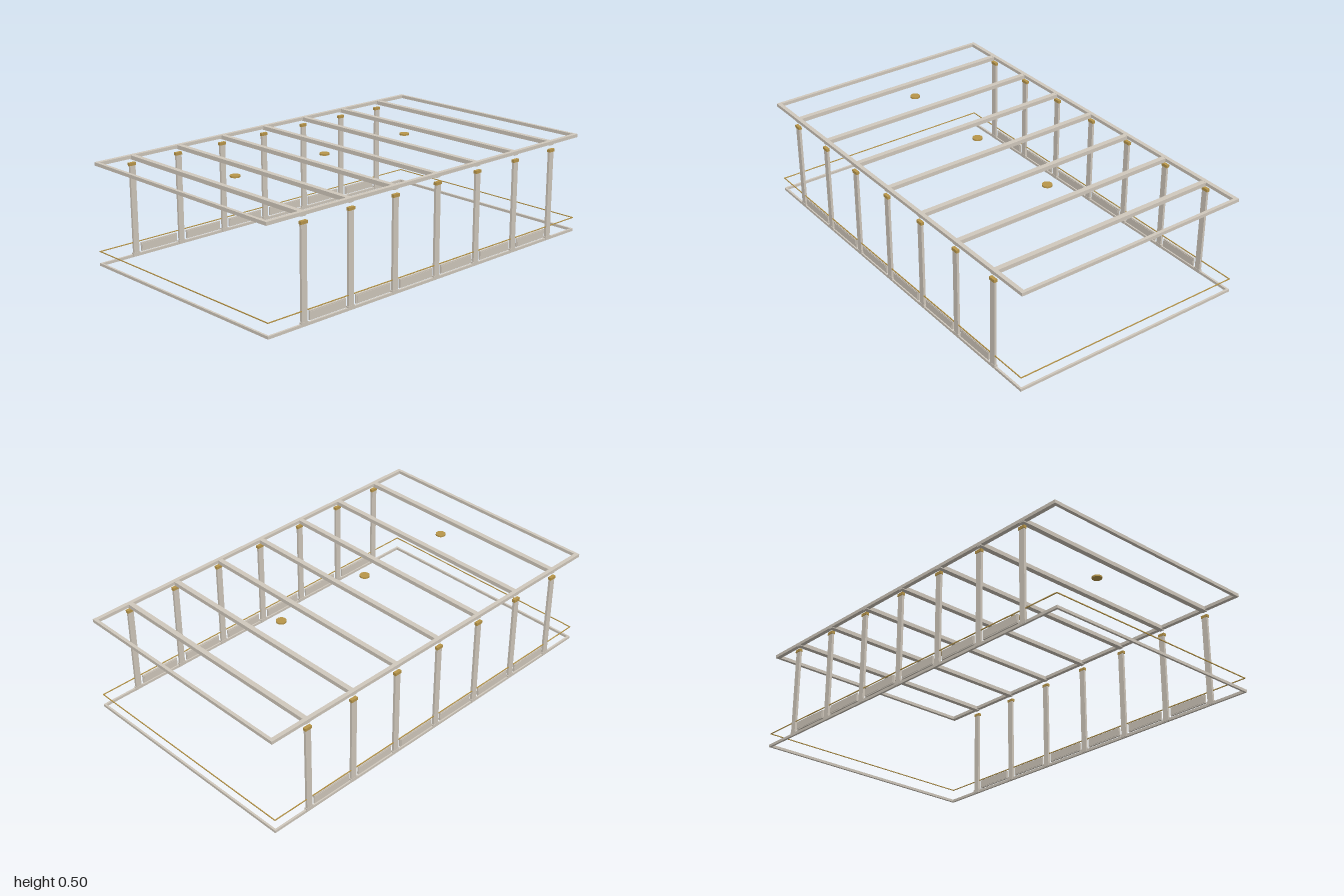
import * as THREE from 'three';

export function createModel() {
  const model = new THREE.Group();
  const stone = new THREE.MeshStandardMaterial({ name: 'warm grey stone', color: 0xd0c8bc });
  const gold = new THREE.MeshStandardMaterial({ name: 'antique gold', color: 0xb8964a });

  const HALF_X = 0.6, HALF_Z = 1, BAY = 0.8 / 3;

  function box(name, material, [w, h, d], [x, y, z], parent = model) {
    const mesh = new THREE.Mesh(new THREE.BoxGeometry(w, h, d), material);
    mesh.name = name;
    mesh.position.set(x, y, z);
    parent.add(mesh);
    return mesh;
  }

  // Rectangular ring of four bars; sideW and endW are the bar widths seen from above
  function ring(name, material, bottom, top, sideW, endW, inset = 0) {
    const group = new THREE.Group();
    group.name = name;
    const hx = HALF_X - inset, hz = HALF_Z - inset;
    const h = top - bottom, y = (top + bottom) / 2;
    for (const s of [-1, 1]) {
      box('sideBar', material, [sideW, h, 2 * hz], [s * (hx - sideW / 2), y, 0], group);
      box('endBar', material, [2 * (hx - sideW), h, endW], [0, y, s * (hz - endW / 2)], group);
    }
    model.add(group);
  }

  // Skirting, thin gilt line and ceiling border
  ring('skirting', stone, 0, 0.013, 0.01, 0.01);
  ring('giltLine', gold, 0.068, 0.072, 0.004, 0.004, 0.001);
  ring('ceilingBorder', stone, 0.484, 0.5, 0.02, 0.016);

  // Ceiling beams with a pair of pilasters below each
  for (let i = -3; i <= 3; i++) {
    const z = i * BAY;
    box('ceilingBeam', stone, [2 * HALF_X - 0.002, 0.0195, 0.025], [0, 0.48975, z]);
    for (const s of [-1, 1]) {
      const pilaster = new THREE.Group();
      pilaster.name = s > 0 ? 'leftPilaster' : 'rightPilaster';
      box('plinth', stone, [0.014, 0.018, 0.038], [s * 0.594, 0.011, z], pilaster);
      box('shaft', stone, [0.012, 0.437, 0.03], [s * 0.594, 0.2285, z], pilaster);
      box('capital', gold, [0.016, 0.014, 0.036], [s * 0.595, 0.454, z], pilaster);
      model.add(pilaster);
    }
  }

  // Low wall panels between the pilasters, with a raised field
  for (let i = -3; i < 3; i++) {
    const z = (i + 0.5) * BAY;
    for (const s of [-1, 1]) {
      box('wallPanel', stone, [0.008, 0.043, 0.207], [s * 0.594, 0.0405, z]);
      box('panelField', stone, [0.011, 0.033, 0.197], [s * 0.594, 0.0405, z]);
    }
  }

  // Round ceiling lights
  for (const z of [-0.4, 0.133, 0.667]) {
    const light = new THREE.Mesh(new THREE.CylinderGeometry(0.024, 0.024, 0.008, 24), gold);
    light.name = 'ceilingLight';
    light.position.set(0, 0.495, z);
    model.add(light);
  }

  return model;
}
